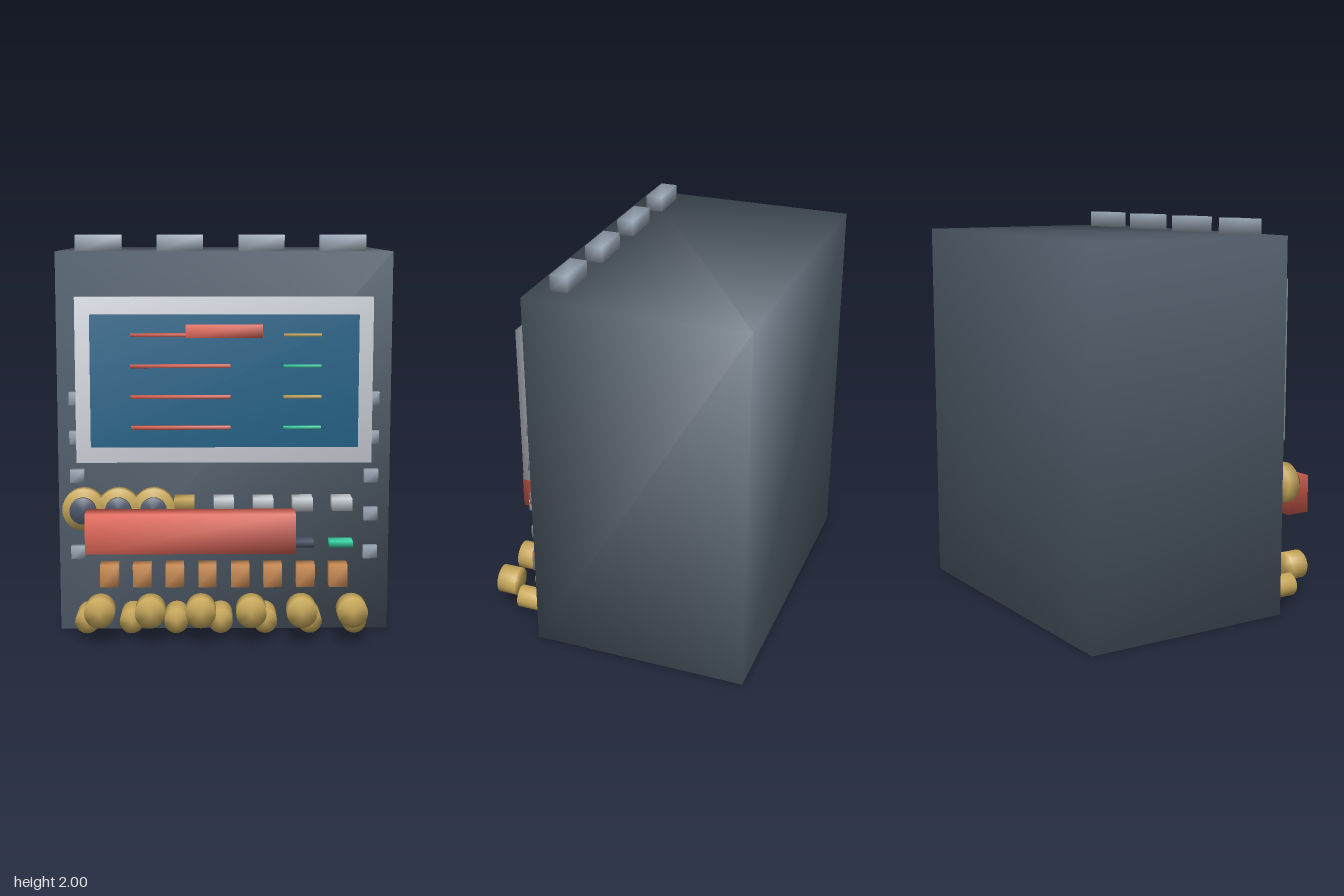
import * as THREE from 'three';
import { mergeVertices } from 'three/addons/utils/BufferGeometryUtils.js';

const mat = (name, color) => {
  const m = new THREE.MeshStandardMaterial({ color });
  m.name = name;
  return m;
};

// Weld corners so the shading runs softly over every edge
function soften(geometry) {
  geometry.deleteAttribute('uv');
  geometry.deleteAttribute('normal');
  const g = mergeVertices(geometry, 1e-4);
  g.computeVertexNormals();
  return g;
}

export function createModel() {
  const root = new THREE.Group();
  root.name = 'controlCabinet';

  const slate = mat('slate', 0x566371);
  const dark = mat('darkGrey', 0x4a5568);
  const steel = mat('steel', 0x98a5b4);
  const silver = mat('silver', 0xcbd0d7);
  const blue = mat('screenBlue', 0x1f6186);
  const red = mat('red', 0xdb6152);
  const gold = mat('gold', 0xc9a95c);
  const copper = mat('copper', 0xd29259);
  const green = mat('green', 0x36d1a2);

  const add = (name, geometry, material, x, y, z) => {
    const mesh = new THREE.Mesh(soften(geometry), material);
    mesh.name = name;
    mesh.position.set(x, y, z);
    root.add(mesh);
  };
  // Box given by its limits on each axis
  const box = (name, material, [x0, x1], [y0, y1], [z0, z1]) =>
    add(name, new THREE.BoxGeometry(x1 - x0, y1 - y0, z1 - z0), material,
      (x0 + x1) / 2, (y0 + y1) / 2, (z0 + z1) / 2);
  // Disc or knob whose axis points to the front
  const knob = (name, material, r, x, y, [z0, z1]) =>
    add(name, new THREE.CylinderGeometry(r, r, z1 - z0, 24).rotateX(Math.PI / 2),
      material, x, y, (z0 + z1) / 2);
  const around = (c, width) => [c - width / 2, c + width / 2];

  // Cabinet and roof vents
  box('cabinet', slate, [-0.835, 0.835], [0, 1.92], [-0.71, 0.41]);
  for (let i = 0; i < 4; i++)
    box('roofVent', steel, around(-0.63 + i * 0.409, 0.23), [1.915, 2], [0.23, 0.318]);

  // Display with its frame and readout bars
  box('displayFrame', silver, [-0.735, 0.732], [0.88, 1.7], [0.405, 0.5]);
  box('displayScreen', blue, [-0.66, 0.66], [0.962, 1.615], [0.495, 0.528]);
  for (let i = 0; i < 4; i++) {
    const y = 1.518 - i * 0.152;
    box('readoutLine', red, [-0.46, 0.03], around(y, 0.017), [0.525, 0.552]);
    box('readoutMark', i % 2 ? green : gold, [0.29, 0.475], around(y, 0.014), [0.525, 0.55]);
  }
  box('readoutHeader', red, [-0.19, 0.187], [1.505, 1.57], [0.525, 0.558]);

  // Studs down both edges of the front
  for (const side of [-1, 1])
    for (let i = 0; i < 5; i++)
      box('frontStud', steel, around(side * 0.739, 0.07), around(1.193 - i * 0.196, 0.065), [0.405, 0.45]);

  // Dials with dark faces
  for (let i = 0; i < 3; i++) {
    const x = -0.7 + i * 0.174;
    knob('dial', gold, 0.105, x, 0.65, [0.48, 0.545]);
    knob('dialFace', dark, 0.066, x, 0.65, [0.555, 0.58]);
  }

  // Button row and indicator row
  for (let i = 0; i < 7; i++) {
    const x = -0.594 + i * 0.197;
    box('button', i < 3 ? gold : silver, around(x, 0.1), [0.637, 0.7], [0.405, 0.525]);
    box('indicator', i % 3 ? dark : green, around(x, 0.118), [0.443, 0.475], [0.405, 0.49]);
  }

  // Red handle bar
  box('handleBar', red, [-0.68, 0.345], [0.465, 0.662], [0.578, 0.708]);

  // Copper keys
  for (let i = 0; i < 8; i++)
    box('key', copper, around(-0.577 + i * 0.164, 0.092), [0.25, 0.365], [0.445, 0.535]);

  // Two rows of gold knobs
  for (let i = 0; i < 6; i++)
    knob('frontKnob', gold, 0.075, -0.615 + i * 0.2485, 0.167, [0.61, 0.71]);
  for (let i = 0; i < 7; i++)
    knob('rearKnob', gold, 0.06, -0.685 + i * 0.222, 0.092, [0.43, 0.595]);

  return root;
}
